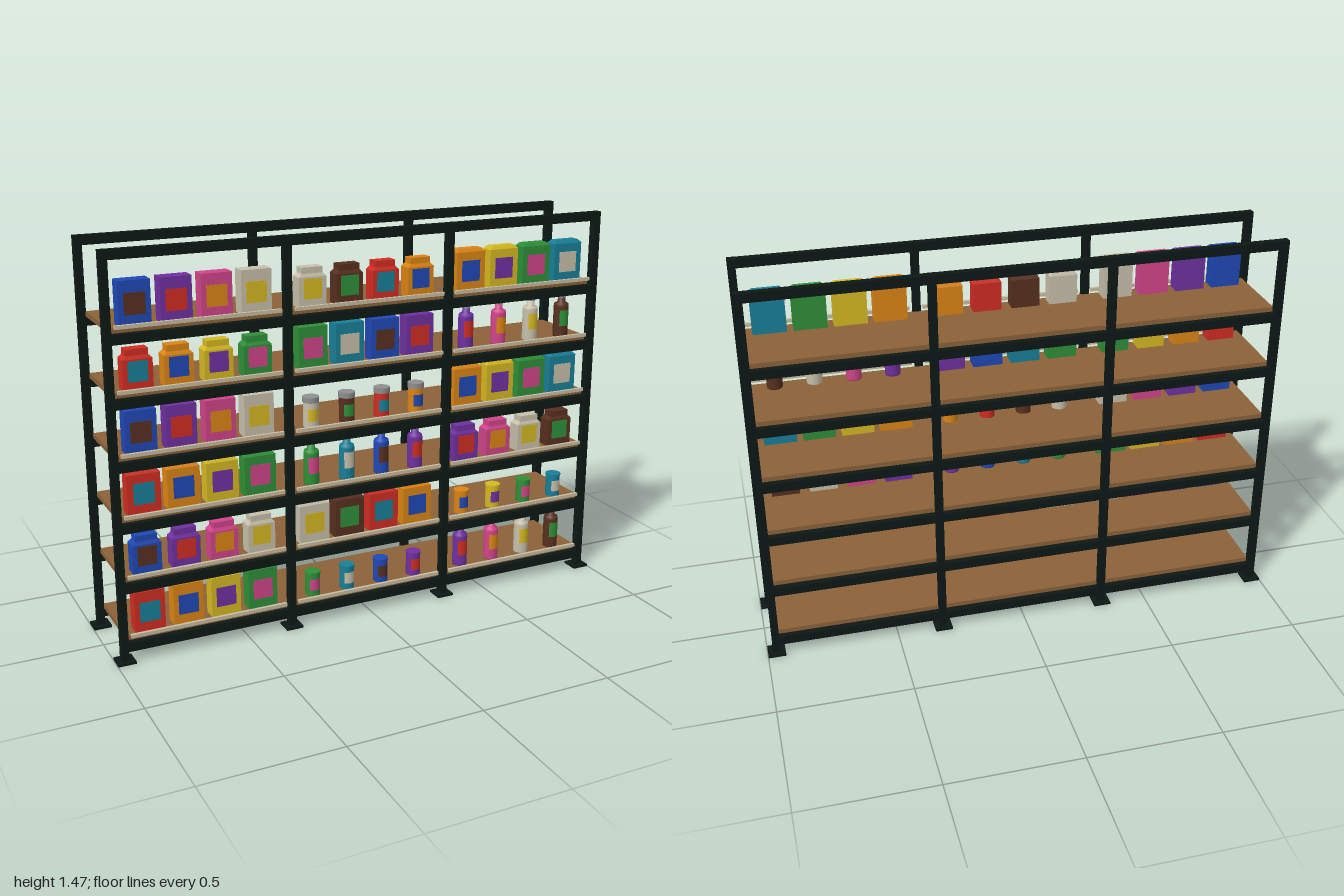
import * as THREE from 'three';

const mat = (color) => new THREE.MeshStandardMaterial({ color });
const frameMat = mat(0x0c1815), woodMat = mat(0x8b6239), stripMat = mat(0xc9bda2), capMat = mat(0x8e8e8e);
// red, orange, yellow, green, teal, blue, purple, pink, cream, brown
const palette = [0xcf2d22, 0xdb8414, 0xd4b822, 0x2f8f38, 0x187f98, 0x1f48b4, 0x6f309f, 0xd14489, 0xc6bfaa, 0x57301f].map(mat);

function add(parent, name, geometry, material, x = 0, y = 0, z = 0) {
  const mesh = new THREE.Mesh(geometry, material);
  mesh.name = name;
  mesh.position.set(x, y, z);
  parent.add(mesh);
  return mesh;
}

// Box standing on y
function block(parent, name, w, h, d, material, x, y, z) {
  return add(parent, name, new THREE.BoxGeometry(w, h, d), material, x, y + h / 2, z);
}

// Box standing on y whose top is scaled in width and depth
function taper(parent, name, w, h, d, sx, sz, material, y) {
  const g = new THREE.BoxGeometry(w, h, d);
  const p = g.attributes.position;
  for (let i = 0; i < p.count; i++) {
    if (p.getY(i) > 0) p.setXYZ(i, p.getX(i) * sx, p.getY(i), p.getZ(i) * sz);
  }
  g.computeVertexNormals();
  return add(parent, name, g, material, 0, y + h / 2, 0);
}

function can(parent, name, r, h, material, y) {
  return add(parent, name, new THREE.CylinderGeometry(r, r, h, 20), material, 0, y + h / 2, 0);
}

// Label wrapped around the front of a round container
function roundLabel(parent, r, h, y, material) {
  const g = new THREE.CylinderGeometry(r, r, h, 10, 1, true, -0.75, 1.5);
  add(parent, 'label', g, material, 0, y, 0).material.side = THREE.DoubleSide;
}

const products = {
  box(g, main, label) {
    block(g, 'boxBody', 0.112, 0.153, 0.056, main, 0, 0, 0);
    block(g, 'label', 0.075, 0.075, 0.003, label, 0, 0.037, 0.028);
  },
  bag(g, main, label) {
    block(g, 'bagBody', 0.12, 0.146, 0.054, main, 0, 0, 0);
    taper(g, 'bagTop', 0.12, 0.012, 0.054, 0.8, 0.7, main, 0.146);
    block(g, 'label', 0.076, 0.078, 0.003, label, 0, 0.036, 0.027);
  },
  carton(g, main, label) {
    block(g, 'cartonBody', 0.105, 0.108, 0.056, main, 0, 0, 0);
    taper(g, 'cartonShoulder', 0.105, 0.012, 0.056, 0.76, 0.8, main, 0.108);
    block(g, 'cartonTop', 0.08, 0.022, 0.045, main, 0, 0.12, 0);
    block(g, 'label', 0.07, 0.072, 0.003, label, 0, 0.03, 0.028);
  },
  can(g, main, label) {
    can(g, 'canBody', 0.028, 0.088, main, 0);
    can(g, 'canRim', 0.03, 0.008, main, 0.086);
    roundLabel(g, 0.0288, 0.045, 0.046, label);
  },
  jar(g, main, label) {
    can(g, 'jarBody', 0.029, 0.092, main, 0);
    can(g, 'jarLid', 0.031, 0.02, capMat, 0.092);
    roundLabel(g, 0.0298, 0.045, 0.046, label);
  },
  bottle(g, main, label) {
    const pts = [[0, 0], [0.028, 0], [0.029, 0.004], [0.029, 0.12], [0.027, 0.13], [0.015, 0.137], [0.014, 0.155], [0, 0.155]]
      .map(([x, y]) => new THREE.Vector2(x, y));
    add(g, 'bottleBody', new THREE.LatheGeometry(pts, 20), main);
    can(g, 'bottleCap', 0.016, 0.014, capMat, 0.154);
    roundLabel(g, 0.0298, 0.062, 0.076, label);
  },
};

// Product kind for each row, bottom to top, and each bay, right to left of the model
const stock = [
  ['box', 'can', 'bottle'],
  ['carton', 'bag', 'can'],
  ['bag', 'bottle', 'carton'],
  ['box', 'jar', 'bag'],
  ['carton', 'box', 'bottle'],
  ['box', 'carton', 'bag'],
];

export function createModel() {
  const model = new THREE.Group();
  model.name = 'stockedShelving';
  const postZ = 0.158, bay = 0.644;

  // Posts, feet and top rails, front and back
  for (const z of [-postZ, postZ]) {
    for (let i = 0; i < 4; i++) {
      const x = (i - 1.5) * bay;
      block(model, 'post', 0.028, 1.47, 0.028, frameMat, x, 0, z);
      block(model, 'foot', 0.066, 0.009, 0.066, frameMat, x, 0, z);
    }
    block(model, 'topRail', 1.94, 0.034, 0.026, frameMat, 0, 1.436, z);
  }

  stock.forEach((kinds, row) => {
    const top = 0.092 + row * 0.2227;
    // Shelf board with its supporting beams
    block(model, 'shelfBoard', 1.908, 0.018, 0.294, woodMat, 0, top - 0.018, 0);
    for (const z of [-postZ, postZ]) block(model, 'shelfBeam', 1.94, 0.034, 0.026, frameMat, 0, top - 0.052, z);

    kinds.forEach((kind, b) => {
      const cx = (b - 1) * bay;
      // Edge strip along the front of the bay
      block(model, 'edgeStrip', 0.595, 0.013, 0.012, stripMat, cx, top, 0.168);
      // Four products in a row
      for (let i = 0; i < 4; i++) {
        const c = row * 5 + b * 3 + i;
        const item = new THREE.Group();
        item.name = kind;
        item.position.set(cx + (i - 1.5) * 0.144, top, 0.112);
        products[kind](item, palette[c % 10], palette[(c + 4) % 10]);
        model.add(item);
      }
    });
  });
  return model;
}
